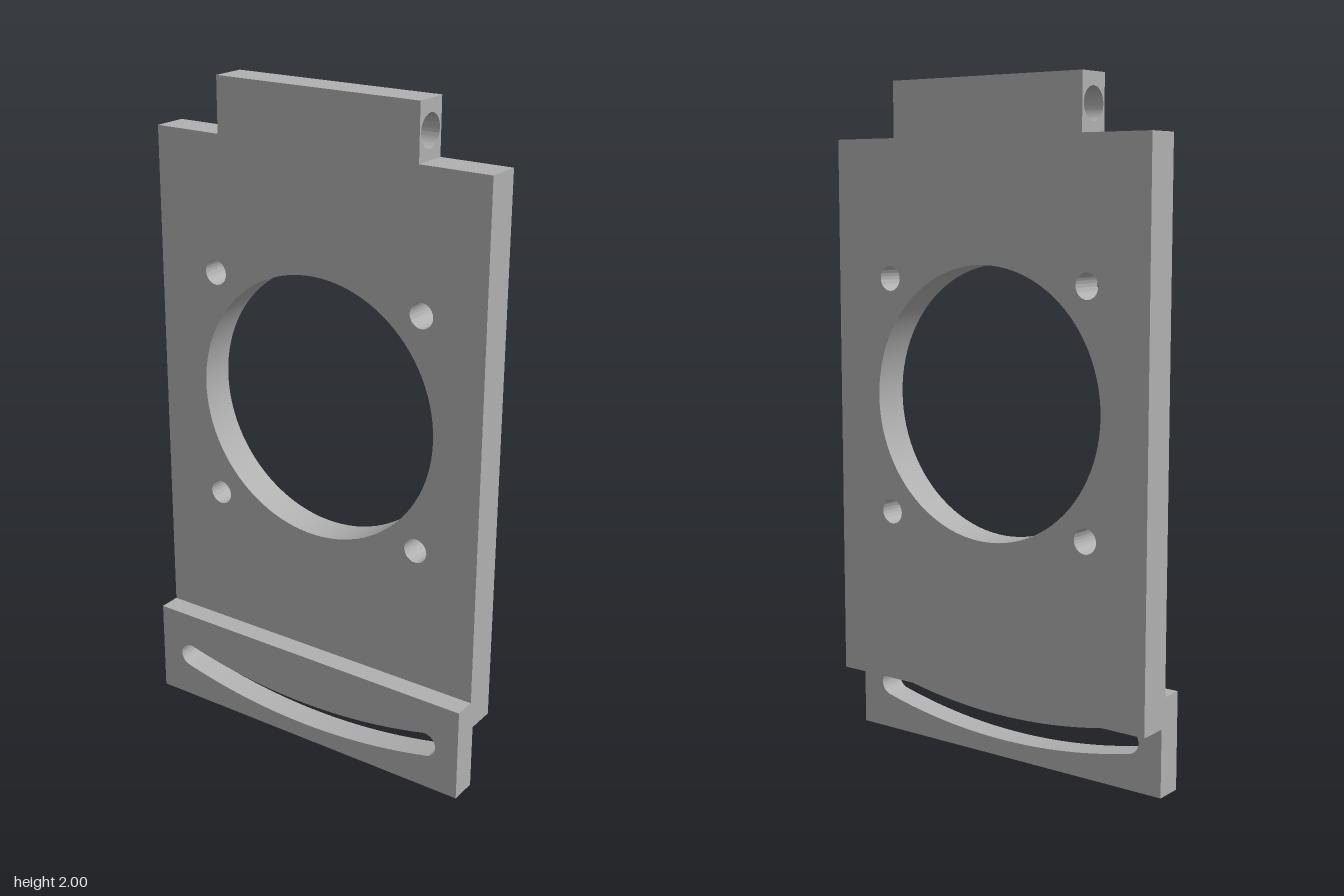
import * as THREE from 'three';
import { toCreasedNormals } from 'three/addons/utils/BufferGeometryUtils.js';

const HALF_WIDTH = 0.553;
const PIVOT_Y = 1.915; // height of the hinge bore, also the centre of the slot's arc

function rect(x0, y0, x1, y1) {
  return new THREE.Shape([
    new THREE.Vector2(x0, y0), new THREE.Vector2(x1, y0),
    new THREE.Vector2(x1, y1), new THREE.Vector2(x0, y1),
  ]);
}

function circleHole(x, y, r) {
  return new THREE.Path().absarc(x, y, r, 0, Math.PI * 2, true);
}

// Curved slot of half-width w, following an arc about the pivot
function arcSlot(radius, w, halfAngle) {
  const a0 = -Math.PI / 2 - halfAngle;
  const a1 = -Math.PI / 2 + halfAngle;
  const path = new THREE.Path();
  path.absarc(0, PIVOT_Y, radius + w, a0, a1, false);
  path.absarc(radius * Math.cos(a1), PIVOT_Y + radius * Math.sin(a1), w, a1, a1 + Math.PI, false);
  path.absarc(0, PIVOT_Y, radius - w, a1, a0, true);
  path.absarc(radius * Math.cos(a0), PIVOT_Y + radius * Math.sin(a0), w, a0 + Math.PI, a0 + Math.PI * 2, false);
  return path;
}

function extrude(shape, depth) {
  const geometry = new THREE.ExtrudeGeometry(shape, { depth, bevelEnabled: false, curveSegments: 48 });
  return toCreasedNormals(geometry, 0.6);
}

// Extrude a side outline across the thickness, from x0 to x1
function extrudeAlongX(shape, x0, x1) {
  return extrude(shape, x1 - x0).rotateY(Math.PI / 2).translate(x0, 0, 0);
}

export function createModel() {
  const group = new THREE.Group();
  const grey = new THREE.MeshStandardMaterial({ color: 0xb0b0b0 });
  grey.name = 'grey';

  const add = (name, geometry) => {
    const mesh = new THREE.Mesh(geometry, grey);
    mesh.name = name;
    group.add(mesh);
  };

  // Main plate with a large central opening and four screw holes
  const plate = rect(-HALF_WIDTH, 0.2, HALF_WIDTH, 1.836);
  plate.holes.push(circleHole(0, 1.075, 0.4));
  for (const side of [-1, 1]) {
    for (const y of [0.723, 1.427]) plate.holes.push(circleHole(side * 0.352, y, 0.037));
  }
  add('mainPlate', extrudeAlongX(plate, -0.02, 0.087));

  // Hinge tab on top, bored from front to back
  const tab = rect(-0.02, 1.836, 0.087, 2);
  tab.holes.push(circleHole(0.033, PIVOT_Y, 0.047));
  add('hingeTab', extrude(tab, 0.666).translate(0, 0, -0.333));

  // Offset lower flange with the curved adjustment slot
  const flange = rect(-HALF_WIDTH, 0, HALF_WIDTH, 0.29);
  flange.holes.push(arcSlot(1.825, 0.0375, 0.2438));
  add('slottedFlange', extrudeAlongX(flange, -0.087, -0.003));

  return group;
}
